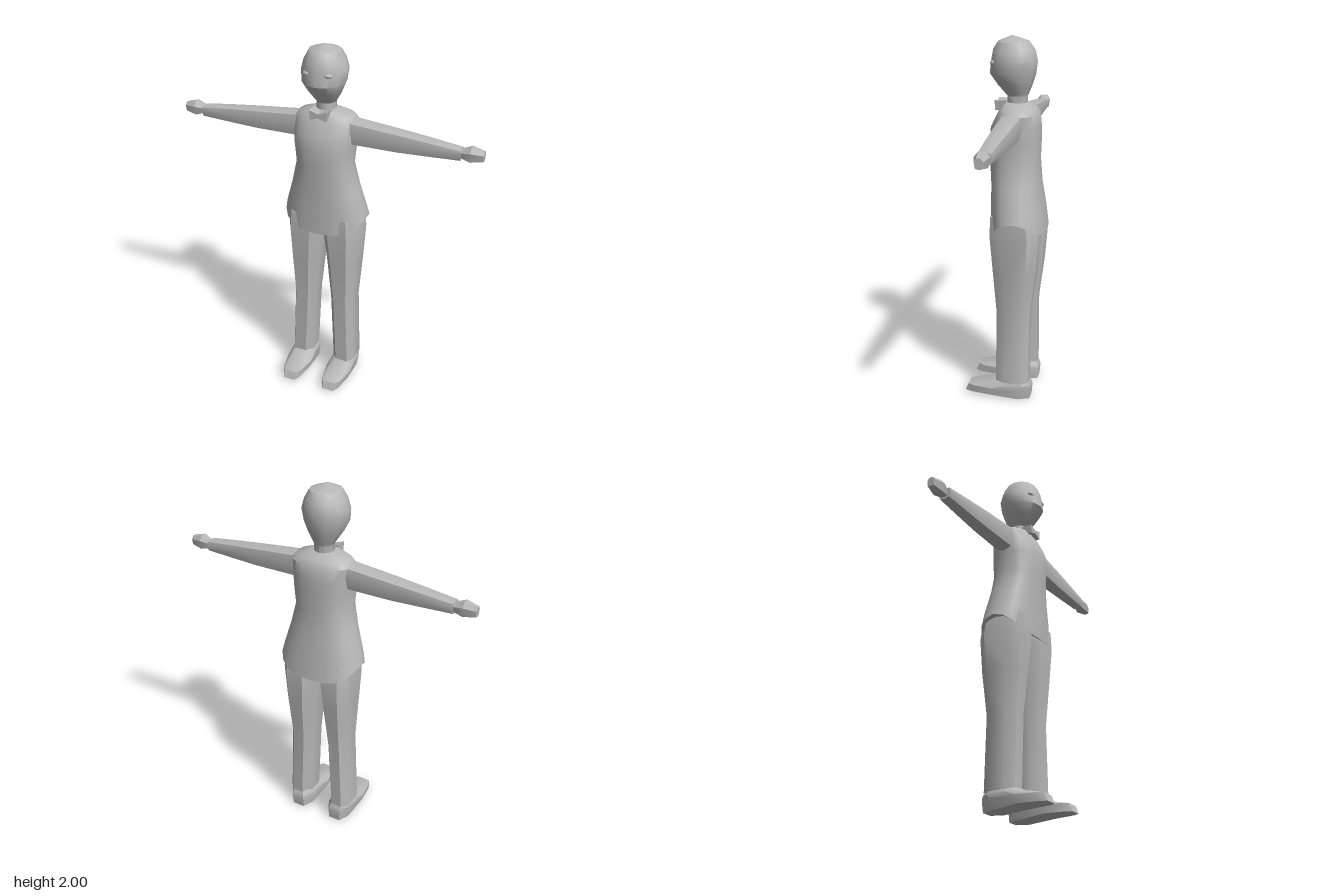
import * as THREE from 'three';
import { toCreasedNormals } from 'three/addons/utils/BufferGeometryUtils.js';

// Skin a list of rings (arrays of [x, y, z]) with end caps fanned from centre points.
function loft(rings, crease, startTip, endTip) {
  const tri = [];
  const centre = r => [0, 1, 2].map(k => r.reduce((s, p) => s + p[k], 0) / r.length);
  const first = rings[0], last = rings[rings.length - 1], n = first.length;
  const a = startTip || centre(first), b = endTip || centre(last);
  for (let i = 0; i < n; i++) {
    const j = (i + 1) % n;
    tri.push([a, first[j], first[i]], [b, last[i], last[j]]);
    for (let k = 0; k < rings.length - 1; k++) {
      const p = rings[k], q = rings[k + 1];
      tri.push([p[i], p[j], q[j]], [p[i], q[j], q[i]]);
    }
  }
  // Turn all faces outward
  let volume = 0;
  for (const [p, q, r] of tri) {
    volume += p[0] * (q[1] * r[2] - q[2] * r[1]) + p[1] * (q[2] * r[0] - q[0] * r[2]) + p[2] * (q[0] * r[1] - q[1] * r[0]);
  }
  if (volume < 0) tri.forEach(t => t.reverse());
  const geo = new THREE.BufferGeometry();
  geo.setAttribute('position', new THREE.Float32BufferAttribute(tri.flat(2), 3));
  return toCreasedNormals(geo, crease);
}

// Unit outline; power below 1 makes it boxier
function roundOutline(n, power = 1) {
  const f = v => Math.sign(v) * Math.pow(Math.abs(v), power);
  return Array.from({ length: n }, (_, i) => {
    const t = (i / n) * Math.PI * 2;
    return [f(Math.cos(t)), f(Math.sin(t))];
  });
}

// Level ring between xMin..xMax and zBack..zFront
function levelRing(outline, [y, xMin, xMax, zFront, zBack]) {
  const cx = (xMin + xMax) / 2, rx = (xMax - xMin) / 2, cz = (zFront + zBack) / 2, rz = (zFront - zBack) / 2;
  return outline.map(([u, v]) => [cx + u * rx, y, cz + v * rz]);
}

// Upright ring across the arm at position x
function armRing(outline, [x, yMin, yMax, zFront, zBack]) {
  return outline.map(([u, v]) => [x, (yMin + yMax) / 2 + v * (yMax - yMin) / 2, (zFront + zBack) / 2 + u * (zFront - zBack) / 2]);
}

export function createModel() {
  const group = new THREE.Group();
  const grey = new THREE.MeshStandardMaterial({ color: 0xb8b8b8 });
  grey.name = 'light grey';
  const add = (name, geo) => {
    const mesh = new THREE.Mesh(geo, grey);
    mesh.name = name;
    group.add(mesh);
    return mesh;
  };
  const mirrorRings = (rings, side) => rings.map(r => r.map(([x, y, z]) => [x * side, y, z]));

  // Head and neck: y, half width, z front, z back
  const headOutline = roundOutline(12);
  const headRings = [
    [1.60, 0.055, 0.005, -0.105],
    [1.69, 0.052, 0.005, -0.105],
    [1.705, 0.062, 0.02, -0.112],
    [1.75, 0.09, 0.06, -0.13],
    [1.805, 0.115, 0.1, -0.148],
    [1.87, 0.124, 0.092, -0.156],
    [1.925, 0.108, 0.082, -0.145],
    [1.968, 0.085, 0.055, -0.115],
  ].map(([y, w, f, b]) => levelRing(headOutline, [y, -w, w, f, b]));
  add('head', loft(headRings, 0.65, null, [0, 2, -0.02]));

  // Jacket: y, half width, z front, z back
  const jacketOutline = roundOutline(20, 0.8);
  const jacketRings = [
    [1.655, 0.06, 0.02, -0.105],
    [1.625, 0.15, 0.037, -0.145],
    [1.60, 0.17, 0.05, -0.165],
    [1.53, 0.167, 0.085, -0.173],
    [1.45, 0.163, 0.096, -0.175],
    [1.35, 0.153, 0.092, -0.172],
    [1.22, 0.185, 0.083, -0.18],
    [1.09, 0.223, 0.083, -0.2],
  ].map(([y, w, f, b]) => levelRing(jacketOutline, [y, -w, w, f, b]));
  // Hem rises at the hips
  const hem = levelRing(jacketOutline, [0.96, -0.235, 0.235, 0.08, -0.215]);
  hem.forEach(p => { p[1] += 0.085 * Math.pow(Math.abs(p[0]) / 0.235, 4); });
  jacketRings.push(hem);
  add('jacket', loft(jacketRings, 0.7, null, [0, 1.06, -0.06]));

  // Bow tie
  const bow = new THREE.Shape([
    [-0.05, 1.667], [0, 1.65], [0.05, 1.667], [0.045, 1.615], [0, 1.63], [-0.045, 1.615],
  ].map(([x, y]) => new THREE.Vector2(x, y)));
  const bowGeo = new THREE.ExtrudeGeometry(bow, { depth: 0.06, bevelEnabled: false });
  bowGeo.translate(0, 0, 0.003);
  add('bowTie', bowGeo);

  const legOutline = [[1, 0.45], [0.62, 1], [-0.5, 1], [-1, 0.5], [-1, -0.4], [-0.45, -1], [0.55, -1], [1, -0.6]];
  const shoeOutline = [
    [0.5, 1], [0.75, 0.8], [1, 0.2], [0.9, -0.65], [0.5, -1],
    [-0.5, -1], [-0.9, -0.65], [-1, 0.2], [-0.75, 0.8], [-0.5, 1],
  ];
  const armOutline = [[1, 0.15], [0.85, 0.8], [0, 1], [-0.85, 0.8], [-1, 0.15], [-0.75, -0.75], [0, -1], [0.75, -0.75]];
  const handOutline = [[1, 0.4], [0.5, 1], [-0.5, 1], [-1, 0.4], [-0.8, -0.8], [0, -1], [0.8, -0.8]];

  for (const side of [1, -1]) {
    const label = side > 0 ? 'left' : 'right';

    // Eye
    const eye = add(label + 'Eye', new THREE.SphereGeometry(1, 12, 8));
    eye.scale.set(0.025, 0.014, 0.018);
    eye.position.set(side * 0.056, 1.864, 0.066);

    // Trouser leg
    const leg = [
      [1.06, 0.002, 0.195, 0.065, -0.18],
      [0.95, 0.004, 0.203, 0.068, -0.195],
      [0.75, 0.025, 0.192, 0.052, -0.18],
      [0.51, 0.047, 0.178, 0.033, -0.15],
      [0.10, 0.066, 0.193, 0.035, -0.148],
    ].map(s => levelRing(legOutline, s));
    add(label + 'TrouserLeg', loft(mirrorRings(leg, side), 0.7));

    // Shoe, toe slightly lifted
    const shoe = [
      [0.005, 0.057, 0.19, 0.215, -0.155],
      [0.058, 0.05, 0.2, 0.197, -0.16],
      [0.08, 0.056, 0.197, 0.1, -0.157],
      [0.11, 0.075, 0.185, 0.02, -0.14],
    ].map(s => levelRing(shoeOutline, s));
    shoe[0].forEach(p => { p[1] = p[2] > 0 ? 0.015 : 0; });
    add(label + 'Shoe', loft(mirrorRings(shoe, side), 0.5));

    // Sleeve
    const sleeve = [
      [0.12, 1.468, 1.622, 0.012, -0.106],
      [0.17, 1.468, 1.615, 0.012, -0.106],
      [0.40, 1.468, 1.592, 0.004, -0.1],
      [0.55, 1.475, 1.575, -0.003, -0.094],
      [0.73, 1.485, 1.552, -0.012, -0.086],
    ].map(s => armRing(armOutline, s));
    add(label + 'Sleeve', loft(mirrorRings(sleeve, side), 0.6));

    // Hand
    const hand = [
      [0.71, 1.5, 1.545, -0.027, -0.077],
      [0.735, 1.498, 1.547, -0.025, -0.08],
      [0.78, 1.484, 1.565, -0.014, -0.088],
      [0.845, 1.497, 1.55, -0.03, -0.073],
    ].map(s => armRing(handOutline, s));
    add(label + 'Hand', loft(mirrorRings(hand, side), 0.5));
  }
  return group;
}
